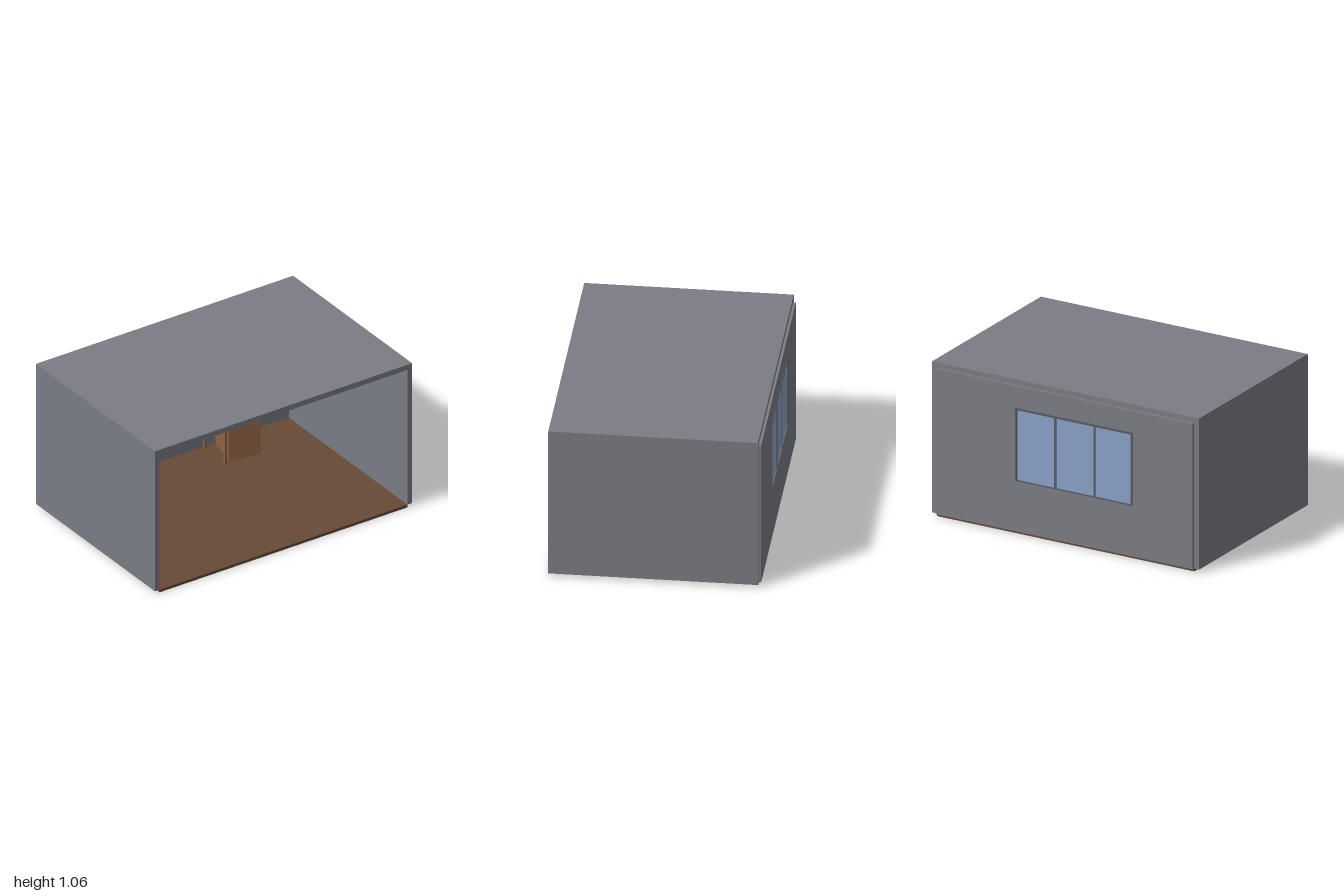
import * as THREE from 'three';

const C = { wall: 0x7a7c84, frame: 0x5a5c63, floor: 0x664a36, wood: 0x8f6242, glass: 0x8ba0c6, dark: 0x2c2d32,
  black: 0x18181b, navy: 0x15173a, beige: 0xb9b096, tan: 0x9c8f78, green: 0x0f2219, lamp: 0x47584a, white: 0xdedbd0 };
const mats = {};
const mat = (c) => (mats[c] ??= new THREE.MeshStandardMaterial({ color: c }));

function add(parent, name, geo, color, x = 0, y = 0, z = 0) {
  const m = new THREE.Mesh(geo, mat(color));
  m.name = name;
  m.position.set(x, y, z);
  parent.add(m);
  return m;
}

// Box given by its limits on each axis
function box(parent, name, color, [x0, x1], [y0, y1], [z0, z1]) {
  return add(parent, name, new THREE.BoxGeometry(x1 - x0, y1 - y0, z1 - z0), color,
    (x0 + x1) / 2, (y0 + y1) / 2, (z0 + z1) / 2);
}

// Round bar between two points
function rod(parent, name, color, a, b, r) {
  const p = new THREE.Vector3(...a), q = new THREE.Vector3(...b), d = q.clone().sub(p);
  const m = add(parent, name, new THREE.CylinderGeometry(r, r, d.length(), 8), color, ...p.add(q).multiplyScalar(0.5));
  m.quaternion.setFromUnitVectors(new THREE.Vector3(0, 1, 0), d.normalize());
  return m;
}

function group(parent, name, x = 0, y = 0, z = 0, ry = 0) {
  const g = new THREE.Group();
  g.name = name;
  g.position.set(x, y, z);
  g.rotation.y = ry;
  parent.add(g);
  return g;
}

function mug(parent, x, y, z) {
  const g = group(parent, 'mug', x, y, z);
  const pts = [[0, 0], [0.012, 0], [0.012, 0.034], [0.01, 0.034], [0.01, 0.004], [0, 0.004]];
  add(g, 'cup', new THREE.LatheGeometry(pts.map((p) => new THREE.Vector2(...p)), 16), C.white);
  add(g, 'handle', new THREE.TorusGeometry(0.008, 0.002, 6, 12, Math.PI), C.white, 0, 0.017, -0.012).rotation.set(0, Math.PI / 2, -Math.PI / 2, 'YXZ');
}

// Floor, side walls, ceiling and back wall with the window opening
function buildRoom(root) {
  const g = group(root, 'room');
  box(g, 'floor', C.floor, [-0.963, 0.963], [0, 0.02], [-0.665, 0.688]);
  for (const s of [-1, 1]) box(g, 'sideWall', C.wall, [s * 0.9815 - 0.0185, s * 0.9815 + 0.0185], [0.02, 1.02], [-0.667, 0.688]);
  box(g, 'ceiling', C.wall, [-1, 1], [1.02, 1.058], [-0.667, 0.688]);
  const rect = (S, x0, x1, y0, y1) => new S([[x0, y0], [x1, y0], [x1, y1], [x0, y1]].map((p) => new THREE.Vector2(...p)));
  const wall = rect(THREE.Shape, -0.963, 0.963, 0.02, 1.02);
  wall.holes.push(rect(THREE.Path, -0.5, 0.355, 0.37, 0.855));
  add(g, 'backWall', new THREE.ExtrudeGeometry(wall, { depth: 0.022, bevelEnabled: false }), C.wall, 0, 0, -0.684);

  const w = group(root, 'window');
  box(w, 'glass', C.glass, [-0.5, 0.355], [0.37, 0.855], [-0.678, -0.672]);
  for (const x of [-0.226, 0.069]) box(w, 'mullion', C.frame, [x - 0.006, x + 0.006], [0.37, 0.855], [-0.684, -0.662]);
  for (const x of [-0.505, 0.36]) box(w, 'outerJamb', C.frame, [x - 0.006, x + 0.006], [0.37, 0.86], [-0.688, -0.682]);
  box(w, 'outerLintel', C.frame, [-0.52, 0.37], [0.856, 0.87], [-0.688, -0.682]);
  box(w, 'outerRail', C.frame, [-0.511, 0.366], [0.368, 0.376], [-0.688, -0.682]);
  box(w, 'innerSill', C.frame, [-0.54, 0.39], [0.362, 0.373], [-0.664, -0.64]);
}

function buildDesk(root) {
  const g = group(root, 'desk');
  box(g, 'deskTop', C.wood, [-0.28, 0.31], [0.287, 0.3], [-0.655, -0.395]);
  for (const x of [-0.266, 0.296]) for (const z of [-0.641, -0.409])
    box(g, 'leg', C.wood, [x - 0.008, x + 0.008], [0.02, 0.287], [z - 0.008, z + 0.008]);
  for (const z of [-0.641, -0.409]) box(g, 'longApron', C.wood, [-0.258, 0.288], [0.257, 0.287], [z - 0.004, z + 0.004]);
  for (const x of [-0.266, 0.296]) box(g, 'shortApron', C.wood, [x - 0.004, x + 0.004], [0.257, 0.287], [-0.633, -0.417]);
}

// Computer, lamp, telephone and other things on the desk
function buildDeskItems(root) {
  const pc = group(root, 'deskComputer', 0.012, 0.3, -0.52);
  box(pc, 'systemUnit', C.dark, [-0.077, 0.077], [0, 0.03], [-0.085, 0.065]);
  box(pc, 'driveSlot', C.black, [0.01, 0.06], [0.015, 0.02], [0.065, 0.067]);
  box(pc, 'monitorFoot', C.black, [-0.045, 0.045], [0.03, 0.04], [-0.04, 0.04]);
  box(pc, 'monitorFront', C.dark, [-0.103, 0.103], [0.036, 0.195], [0.015, 0.06]);
  const tube = add(pc, 'monitorBack', new THREE.CylinderGeometry(0.085, 0.132, 0.09, 4, 1, false, Math.PI / 4), C.dark, 0, 0.115, -0.03);
  tube.rotation.x = -Math.PI / 2;
  tube.scale.z = 0.8;
  tube.material.flatShading = false;
  tube.geometry = tube.geometry.toNonIndexed();
  tube.geometry.computeVertexNormals();
  box(pc, 'screen', C.navy, [-0.078, 0.07], [0.066, 0.174], [0.058, 0.062]);
  box(pc, 'keyboard', C.dark, [-0.07, 0.07], [0, 0.008], [0.072, 0.112]);
  for (let i = 0; i < 3; i++) box(pc, 'keyRow', C.black, [-0.064, 0.064], [0.008, 0.011], [0.076 + i * 0.012, 0.085 + i * 0.012]);

  const books = group(root, 'books', 0.137, 0.3, -0.56);
  for (let i = 0; i < 6; i++) box(books, 'book', i % 2 ? C.black : C.dark,
    [i * 0.0165, i * 0.0165 + 0.0145], [0, 0.066 + (i % 3) * 0.003], [-0.035, 0.035]);
  box(root, 'notepad', C.black, [0.235, 0.285], [0.3, 0.308], [-0.47, -0.42]);

  const lamp = group(root, 'deskLamp', 0, 0, -0.56);
  add(lamp, 'lampBase', new THREE.CylinderGeometry(0.032, 0.036, 0.01, 24), C.black, -0.2, 0.305, 0);
  rod(lamp, 'lowerArm', C.black, [-0.205, 0.31, 0], [-0.225, 0.475, 0], 0.004);
  rod(lamp, 'upperArm', C.black, [-0.225, 0.475, 0], [-0.14, 0.515, 0.02], 0.004);
  add(lamp, 'joint', new THREE.SphereGeometry(0.007, 10, 8), C.black, -0.225, 0.475, 0);
  const shade = group(lamp, 'lampHead', -0.135, 0.512, 0.025);
  shade.rotation.set(-0.35, 0, 0.35);
  const profile = [[0, 0.026], [0.012, 0.026], [0.016, 0.014], [0.024, -0.024]].map((p) => new THREE.Vector2(...p)).reverse();
  const cone = add(shade, 'shade', new THREE.LatheGeometry(profile, 20), C.lamp);
  cone.material.side = THREE.DoubleSide;
  add(shade, 'bulb', new THREE.SphereGeometry(0.01, 10, 8), C.white, 0, -0.01, 0);

  const phone = group(root, 'telephone', -0.238, 0.3, -0.48);
  box(phone, 'phoneBody', C.dark, [-0.026, 0.026], [0, 0.018], [-0.03, 0.03]);
  box(phone, 'handset', C.black, [-0.03, 0.03], [0.023, 0.031], [-0.024, -0.008]);
  for (const x of [-0.022, 0.022]) box(phone, 'handsetEnd', C.black, [x - 0.008, x + 0.008], [0.016, 0.024], [-0.026, -0.006]);
  add(phone, 'dial', new THREE.CylinderGeometry(0.014, 0.014, 0.004, 16), C.white, 0, 0.02, 0.012);
  mug(root, -0.135, 0.3, -0.48);
}

// Angled cabinet carrying an old beige computer
function buildCabinet(root) {
  const g = group(root, 'cabinet', 0.468, 0, -0.51, -0.225);
  box(g, 'cabinetBody', C.wood, [-0.113, 0.113], [0.02, 0.288], [-0.112, 0.112]);
  const pc = group(g, 'oldComputer', 0.01, 0.288, 0);
  box(pc, 'systemUnit', C.tan, [-0.085, 0.085], [0, 0.044], [-0.09, 0.072]);
  box(pc, 'monitor', C.beige, [-0.069, 0.079], [0.044, 0.172], [-0.06, 0.045]);
  box(pc, 'screen', C.green, [-0.046, 0.056], [0.08, 0.155], [0.043, 0.047]);
  box(pc, 'keyboard', C.beige, [-0.09, 0.085], [0, 0.01], [0.076, 0.11]);
  mug(pc, -0.07, 0.044, 0.058);
}

function buildClock(root) {
  const g = group(root, 'wallClock', 0.712, 0.462, -0.662);
  add(g, 'clockRim', new THREE.CylinderGeometry(0.033, 0.033, 0.012, 32), C.dark, 0, 0, 0.006).rotation.x = Math.PI / 2;
  add(g, 'clockFace', new THREE.CylinderGeometry(0.029, 0.029, 0.002, 32), C.white, 0, 0, 0.013).rotation.x = Math.PI / 2;
  for (let i = 0; i < 12; i++) {
    const a = (i * Math.PI) / 6;
    add(g, 'hourMark', new THREE.BoxGeometry(0.001, 0.004, 0.001), C.black, 0.025 * Math.sin(a), 0.025 * Math.cos(a), 0.0145).rotation.z = -a;
  }
  rod(g, 'minuteHand', C.black, [0, 0, 0.015], [0, 0.022, 0.015], 0.001);
  rod(g, 'hourHand', C.black, [0, 0, 0.015], [0.014, 0, 0.015], 0.001);
}

export function createModel() {
  const root = new THREE.Group();
  root.name = 'officeRoom';
  [buildRoom, buildDesk, buildDeskItems, buildCabinet, buildClock].forEach((build) => build(root));
  return root;
}
